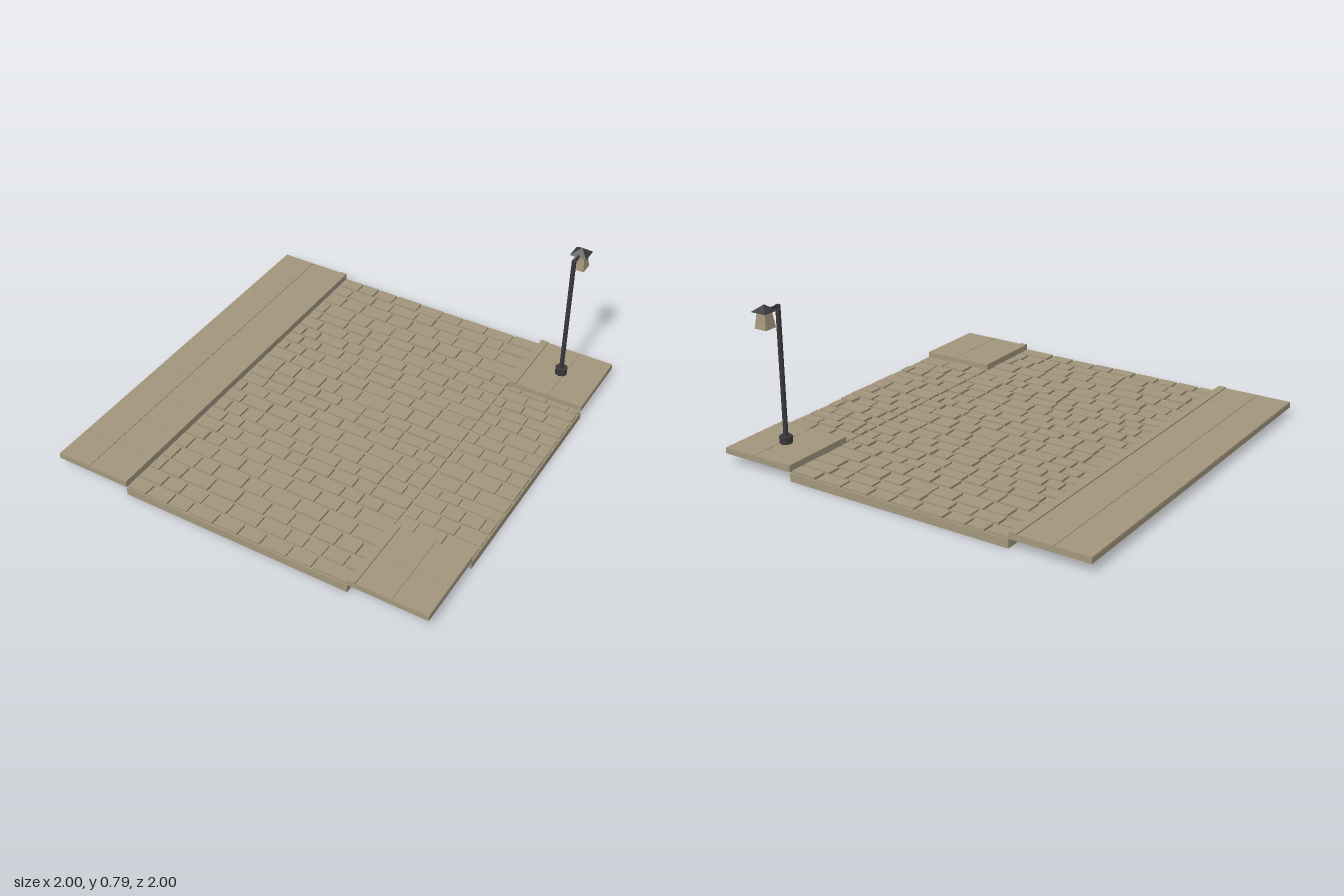
import * as THREE from 'three';
import { mergeGeometries } from 'three/addons/utils/BufferGeometryUtils.js';

const material = (name, color) => Object.assign(new THREE.MeshStandardMaterial({ color, flatShading: true }), { name });

// Small repeatable random generator
function seeded(seed) {
  return () => (seed = (seed * 16807) % 2147483647) / 2147483647;
}

// Box given by its limits on each axis
function block(x0, x1, y0, y1, z0, z1) {
  const g = new THREE.BoxGeometry(x1 - x0, y1 - y0, z1 - z0);
  g.translate((x0 + x1) / 2, (y0 + y1) / 2, (z0 + z1) / 2);
  return g;
}

// Rows of cobbles between x0 and x1; rowEdges are the z lines between the rows
function cobbles(x0, x1, rowEdges, seed) {
  const rand = seeded(seed), gap = 0.007, stones = [];
  for (let r = 0; r < rowEdges.length - 1; r++) {
    let x = x0;
    while (x < x1 - 0.001) {
      let next = x + 0.09 + rand() * 0.08;
      if (x === x0) next = x + 0.05 + rand() * 0.1;
      if (next > x1 - 0.05) next = x1;
      const top = 0.048 + rand() * 0.006;
      stones.push(block(x + gap, next - gap, 0.038, top, rowEdges[r] + gap, rowEdges[r + 1] - gap));
      x = next;
    }
  }
  return mergeGeometries(stones);
}

export function createModel() {
  const model = new THREE.Group();
  model.name = 'streetCorner';
  const stone = material('stone', 0xa3967d);
  const iron = material('iron', 0x3a373a);
  const add = (parent, name, geometry, mat) => {
    const mesh = new THREE.Mesh(geometry, mat);
    mesh.name = name;
    parent.add(mesh);
    return mesh;
  };

  // Road beds and their cobbles
  add(model, 'mainRoadBed', block(-0.6, 0.6, 0, 0.04, -1, 1), stone);
  add(model, 'sideRoadBed', block(0.6, 1, 0, 0.04, -0.6, 0.6), stone);
  const mainRows = [-1, -0.918, -0.838, -0.745, -0.648, -0.578, -0.495, -0.415, -0.338, -0.263, -0.183, -0.08,
    -0.008, 0.062, 0.138, 0.22, 0.312, 0.388, 0.468, 0.548, 0.642, 0.738, 0.832, 0.918, 1];
  const sideRows = [-0.6, -0.563, -0.49, -0.418, -0.348, -0.273, -0.178, -0.098, -0.022, 0.068, 0.168, 0.258,
    0.328, 0.418, 0.505, 0.6];
  add(model, 'mainRoadCobbles', cobbles(-0.6, 0.6, mainRows, 4217), stone);
  add(model, 'sideRoadCobbles', cobbles(0.6, 1, sideRows, 915), stone);

  // Pavements: slab, two columns of paving tiles and a raised kerb beside the road
  function pavement(name, side, z0, z1, rows) {
    const group = new THREE.Group();
    group.name = name;
    model.add(group);
    const span = (a, b) => (side > 0 ? [a, b] : [-b, -a]);
    add(group, 'slab', block(...span(0.6, 1), 0.045, 0.071, z0, z1), stone);
    add(group, 'kerb', block(...span(0.6, 0.64), 0.071, 0.08, z0, z1), stone);
    const tiles = [], step = (z1 - z0) / rows, gap = 0.0015;
    for (let i = 0; i < rows; i++) {
      for (const x of [0.64, 0.82]) {
        tiles.push(block(...span(x + gap, x + 0.18 - gap), 0.071, 0.075, z0 + i * step + gap, z0 + (i + 1) * step - gap));
      }
    }
    add(group, 'tiles', mergeGeometries(tiles), stone);
  }
  pavement('longPavement', -1, -1, 1, 10);
  pavement('frontCornerPavement', 1, 0.6, 1, 2);
  pavement('backCornerPavement', 1, -1, -0.6, 2);

  // Street lamp
  const lamp = new THREE.Group();
  lamp.name = 'streetLamp';
  lamp.position.set(0.8, 0, -0.8);
  model.add(lamp);
  add(lamp, 'base', new THREE.CylinderGeometry(0.032, 0.032, 0.037, 8), iron).position.y = 0.0925;
  add(lamp, 'post', new THREE.CylinderGeometry(0.012, 0.012, 0.655, 8), iron).position.y = 0.4355;
  add(lamp, 'arm', block(-0.006, 0.006, 0.75, 0.762, -0.09, 0), iron);

  // Four-sided lantern hanging from the arm, wider at the bottom
  const lanternBody = new THREE.CylinderGeometry(0.024 * Math.SQRT2, 0.034 * Math.SQRT2, 0.08, 4);
  lanternBody.rotateY(Math.PI / 4);
  add(lamp, 'lantern', lanternBody, stone).position.set(0, 0.715, -0.09);
  const roof = new THREE.ConeGeometry(0.043 * Math.SQRT2, 0.033, 4);
  roof.rotateY(Math.PI / 4);
  add(lamp, 'lanternRoof', roof, iron).position.set(0, 0.7715, -0.09);

  return model;
}
